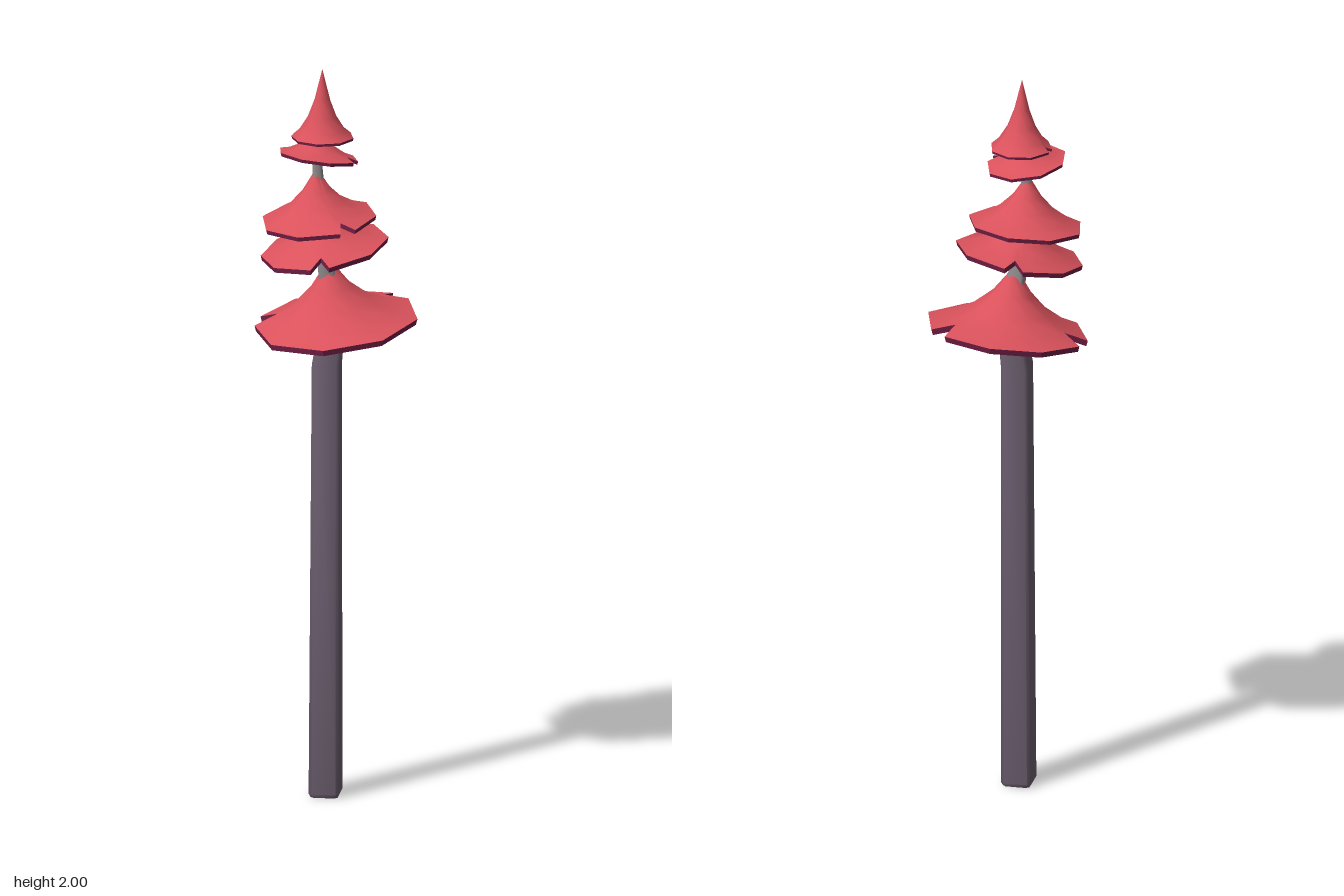
import * as THREE from 'three';
import { toCreasedNormals } from 'three/addons/utils/BufferGeometryUtils.js';

const mat = (name, color) => {
  const m = new THREE.MeshStandardMaterial({ color });
  m.name = name;
  return m;
};

// Stitches equal-length rings into a surface; each ring is a list of [x, y, z]
function loft(rings) {
  const n = rings[0].length, index = [];
  for (let r = 0; r < rings.length - 1; r++) {
    for (let i = 0; i < n; i++) {
      const j = (i + 1) % n, a = r * n + i, b = r * n + j, c = a + n, d = b + n;
      index.push(a, b, c, b, d, c);
    }
  }
  const g = new THREE.BufferGeometry();
  g.setAttribute('position', new THREE.Float32BufferAttribute(rings.flat(2), 3));
  g.setIndex(index);
  return g;
}

// Rim polygon around a centre: even sides between notches, each notch cut inward and lifted
function rimOutline([cx, cz], radius, notches) {
  const halfGap = 8.5, points = [];
  const add = (deg, r, lift) => {
    const a = THREE.MathUtils.degToRad(deg);
    points.push({ x: cx + r * Math.cos(a), z: cz + r * Math.sin(a), lift });
  };
  notches.forEach((start, k) => {
    const next = k + 1 < notches.length ? notches[k + 1] : notches[0] + 360;
    const span = next - start - 2 * halfGap;
    const sides = Math.round(span / 42);
    add(start, radius * 0.74, radius * 0.09);
    for (let i = 0; i <= sides; i++) add(start + halfGap + (span * i) / sides, radius, 0);
  });
  return points;
}

// Flared profile: [share of rim radius, share of height]
const FLARE = [[0.004, 1], [0.1, 0.83], [0.25, 0.56], [0.47, 0.3], [0.75, 0.1], [1, 0]];

function makeTier(name, { apex, rim, slope, centre, radius, notches, thickness }, top, edge, under) {
  const [ax, ay, az] = apex;
  const outline = rimOutline(centre, radius, notches);
  // Ring at a share t of the way out, at a share h of the height, dropped by a thickness
  const ring = (t, h, drop = 0) => outline.map(({ x, z, lift }) => [
    ax + (x - ax) * t,
    rim + (ay - rim) * h + t * (slope[0] * x + slope[1] * z) + lift * t * t - drop,
    az + (z - az) * t,
  ]);
  const group = new THREE.Group();
  group.name = name;
  const addPart = (part, geometry, material) => {
    const mesh = new THREE.Mesh(geometry, material);
    mesh.name = part;
    group.add(mesh);
  };

  // Upper foliage surface, smooth
  const upper = loft(FLARE.map(([t, h]) => ring(t, h)));
  upper.computeVertexNormals();
  addPart('foliage', upper, top);

  // Rim edge
  const lip = ring(0.98, 0, thickness);
  addPart('rim', toCreasedNormals(loft([ring(1, 0), lip]), 0.6), edge);

  // Hollow underside
  const hollow = loft([lip, ring(0.6, 0.12, thickness), ring(0.01, 0.4, thickness)]);
  addPart('underside', toCreasedNormals(hollow, 0.6), under);
  return group;
}

// Chamfered square section of the trunk
function section(x, y, z, half) {
  const c = half * 0.78;
  return [[c, -half], [half, -c], [half, c], [c, half], [-c, half], [-half, c], [-half, -c], [-c, -half]]
    .map(([px, pz]) => [x + px, y, z + pz]);
}

// Stem through sections [x, y, z, half width], from top to bottom
function makeStem(name, sections, material) {
  const mesh = new THREE.Mesh(toCreasedNormals(loft(sections.map((s) => section(...s))), 0.9), material);
  mesh.name = name;
  return mesh;
}

export function createModel() {
  const red = mat('red foliage', 0xda525c);
  const maroon = mat('maroon underside', 0x772048);
  const bark = mat('grey bark', 0x6f6172);
  const pale = mat('pale upper stem', 0x908c8e);

  const model = new THREE.Group();
  model.name = 'tree';

  // Trunk, bending slightly under the foliage
  model.add(makeStem('trunk', [
    [-0.014, 1.4, 0.012, 0.026], [-0.012, 1.29, 0.012, 0.033], [-0.024, 1.19, 0.019, 0.037],
    [-0.028, 0.01, 0.02, 0.041], [-0.028, 0, 0.02, 0.036], [-0.028, 0, 0.02, 0.0005],
  ], bark));

  // Thin stem between the tiers
  model.add(makeStem('upperStem', [
    [-0.04, 1.86, 0.03, 0.006], [-0.048, 1.74, 0.035, 0.012], [-0.04, 1.6, 0.03, 0.016],
    [-0.018, 1.39, 0.012, 0.024],
  ], pale));

  // Foliage tiers; slope tilts the rim in x and z, notches are angles from +x towards +z
  const addTier = (name, under, tier) => model.add(makeTier(name, tier, red, maroon, under));
  addTier('lowestTier', maroon, { apex: [-0.02, 1.475, 0.015], rim: 1.302, slope: [0.09, -0.11],
    centre: [0, 0], radius: 0.22, notches: [187, 314], thickness: 0.016 });
  addTier('secondTier', maroon, { apex: [-0.04, 1.63, 0.025], rim: 1.517, slope: [0.15, -0.11],
    centre: [-0.03, 0.02], radius: 0.17, notches: [87, 262], thickness: 0.014 });
  addTier('middleTier', maroon, { apex: [-0.05, 1.73, 0.035], rim: 1.598, slope: [0.07, -0.09],
    centre: [-0.045, 0.03], radius: 0.155, notches: [52], thickness: 0.012 });
  addTier('fourthTier', red, { apex: [-0.045, 1.85, 0.03], rim: 1.757, slope: [-0.12, 0.1],
    centre: [-0.045, 0.037], radius: 0.108, notches: [13], thickness: 0.009 });
  addTier('topTier', red, { apex: [-0.035, 2, 0.03], rim: 1.813, slope: [0, 0],
    centre: [-0.035, 0.02], radius: 0.084, notches: [187], thickness: 0.007 });
  return model;
}
